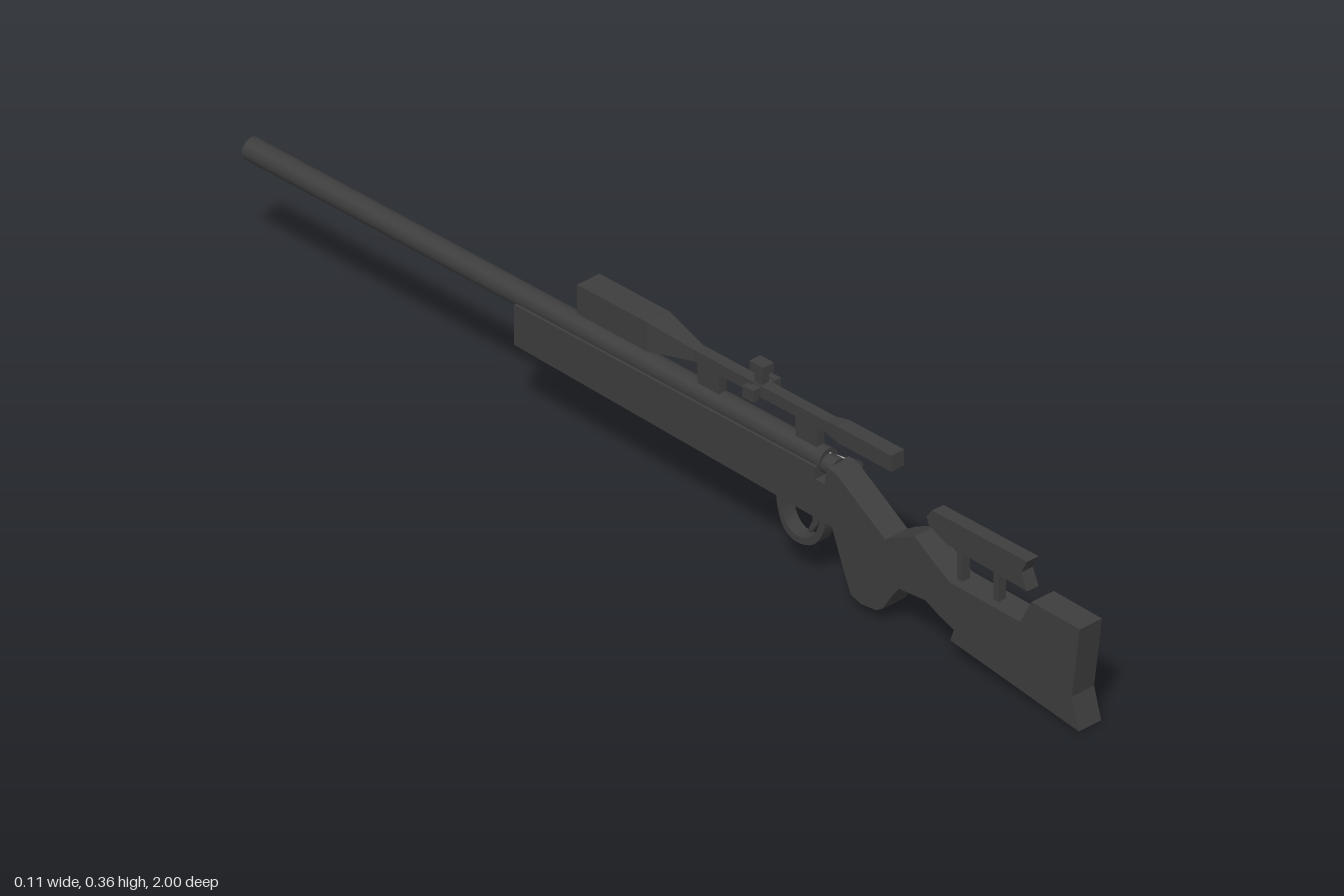
import * as THREE from 'three';

const CX = -0.0215; // centre plane of the long body
const dark = new THREE.MeshStandardMaterial({ color: 0x3d3d3d, flatShading: true });
const smooth = new THREE.MeshStandardMaterial({ color: 0x3d3d3d });
const steel = new THREE.MeshStandardMaterial({ color: 0xcccccc });

export function createModel() {
  const model = new THREE.Group();

  const add = (name, geometry, material = dark) => {
    const mesh = new THREE.Mesh(geometry, material);
    mesh.name = name;
    model.add(mesh);
    return mesh;
  };

  // Side profile of [z, y] points, extruded across x
  const slab = (name, points, width) => {
    const shape = new THREE.Shape(points.map(([z, y]) => new THREE.Vector2(z, y)));
    const g = new THREE.ExtrudeGeometry(shape, { depth: width, bevelEnabled: false });
    g.translate(0, 0, -width / 2).rotateY(-Math.PI / 2).translate(CX, 0, 0);
    return add(name, g);
  };

  const box = (name, w, h, d, y, z) =>
    add(name, new THREE.BoxGeometry(w, h, d).translate(CX, y, z));

  // Cylinder running between two points
  const rod = (name, a, b, r, sides, material) => {
    const from = new THREE.Vector3(...a), to = new THREE.Vector3(...b);
    const dir = to.clone().sub(from);
    const mesh = add(name, new THREE.CylinderGeometry(r, r, dir.length(), sides), material);
    mesh.position.copy(from).addScaledVector(dir, 0.5);
    mesh.quaternion.setFromUnitVectors(new THREE.Vector3(0, 1, 0), dir.normalize());
    return mesh;
  };

  // Stock with butt, hand grip and fore-end
  slab('stock', [
    [1, 0.197], [0.995, 0.005], [0.99, 0], [0.692, 0.042], [0.7, 0.066], [0.665, 0.078],
    [0.633, 0.093], [0.569, 0.088], [0.553, 0.067], [0.53, 0.032], [0.515, 0.023],
    [0.478, 0.019], [0.455, 0.027], [0.44, 0.06], [0.41, 0.137], [-0.347, 0.158],
    [-0.347, 0.235], [0.37, 0.235], [0.37, 0.212], [0.392, 0.212], [0.397, 0.247],
    [0.42, 0.243], [0.537, 0.168], [0.555, 0.18], [0.607, 0.205], [0.645, 0.18],
    [0.69, 0.153], [0.858, 0.15], [0.885, 0.2],
  ].map(([z, y]) => (z === 1 ? [z, y] : z > 0.994 ? [0.981, 0.06] : z > 0.98 ? [0.998, 0] : [z, y])), 0.051);

  // Barrel and receiver tube
  rod('barrel', [CX, 0.241, -1], [CX, 0.241, 0.375], 0.021, 24, smooth);
  rod('boltShroud', [CX, 0.235, 0.37], [CX, 0.235, 0.4], 0.018, 16, smooth);

  // Bolt handle on the left side
  rod('boltHandle', [CX, 0.25, 0.373], [0.038, 0.205, 0.373], 0.006, 12, steel);
  rod('boltKnob', [0.031, 0.211, 0.373], [0.049, 0.198, 0.373], 0.0095, 12, smooth);

  // Cheek rest on two posts
  slab('cheekRest', [
    [0.862, 0.262], [0.848, 0.236], [0.862, 0.205], [0.67, 0.212],
    [0.627, 0.232], [0.622, 0.245], [0.635, 0.262],
  ], 0.026);
  for (const z of [0.783, 0.697]) box('cheekRestPost', 0.018, 0.075, 0.012, 0.18, z);

  // Trigger guard: outer curve with an open middle
  const curveY = (pts) => new THREE.SplineCurve(pts.map((p) => new THREE.Vector2(...p))).getPoints(24);
  const outer = curveY([[0.383, 0.142], [0.376, 0.105], [0.352, 0.073], [0.315, 0.062], [0.284, 0.075], [0.268, 0.11], [0.264, 0.148]]);
  const inner = curveY([[0.276, 0.148], [0.279, 0.112], [0.292, 0.085], [0.316, 0.074], [0.346, 0.084], [0.364, 0.11], [0.371, 0.142]]);
  slab('triggerGuard', [...outer, ...inner].map((v) => [v.x, v.y]), 0.028);
  slab('trigger', [
    [0.357, 0.145], [0.355, 0.11], [0.337, 0.085], [0.331, 0.088], [0.343, 0.112], [0.345, 0.145],
  ], 0.012);

  // Scope: square sections lofted along z as [z, half width, half height]
  const sections = [
    [0.54, 0.0145, 0.0155], [0.41, 0.0145, 0.0155], [0.38, 0.011, 0.011], [0.066, 0.011, 0.011],
    [-0.03, 0.0255, 0.028], [-0.197, 0.0255, 0.028], [-0.197, 0.022, 0.0245], [-0.19, 0.022, 0.0245],
  ];
  const ring = ([z, w, h]) => [[-w, -h], [w, -h], [w, h], [-w, h]].map(([x, y]) => [CX + x, 0.311 + y, z]);
  const pos = [];
  const quad = (a, b, c, d) => pos.push(...a, ...b, ...c, ...a, ...c, ...d);
  const rings = sections.map(ring);
  for (let i = 0; i < rings.length - 1; i++) {
    for (let k = 0; k < 4; k++) {
      const n = (k + 1) % 4;
      quad(rings[i][k], rings[i + 1][k], rings[i + 1][n], rings[i][n]);
    }
  }
  quad(...rings[0]);
  quad(...rings[rings.length - 1].slice().reverse());
  const scope = new THREE.BufferGeometry();
  scope.setAttribute('position', new THREE.Float32BufferAttribute(pos, 3));
  scope.computeVertexNormals();
  add('scope', scope);

  // Scope mounts
  for (const z of [0.331, 0.098]) box('scopeMount', 0.017, 0.05, 0.051, 0.28, z);

  // Adjustment turrets on top and both sides
  box('turretStem', 0.016, 0.04, 0.018, 0.328, 0.216);
  box('turretCap', 0.025, 0.017, 0.033, 0.352, 0.216);
  for (const s of [-1, 1]) {
    const stem = box('sideTurretStem', 0.016, 0.016, 0.018, 0.311, 0.216);
    stem.position.x = s * 0.014;
    const cap = box('sideTurretCap', 0.012, 0.022, 0.026, 0.311, 0.216);
    cap.position.x = s * 0.0255;
  }

  return model;
}
